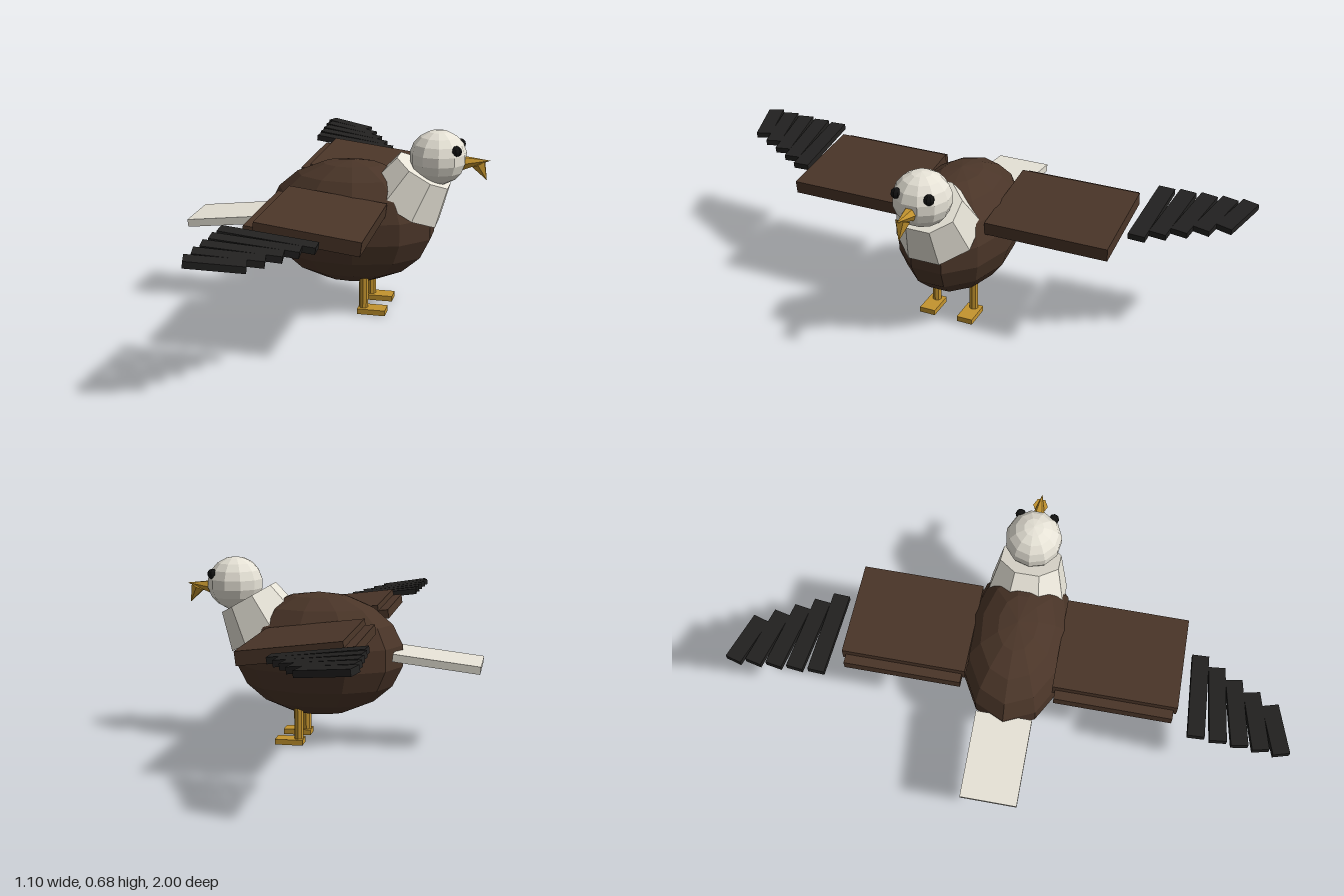
import * as THREE from 'three';

const mat = (color) => new THREE.MeshStandardMaterial({ color, flatShading: true });

export function createModel() {
  const brown = mat(0x4a3528), white = mat(0xe6e2d6), gold = mat(0xc4942e);
  const black = mat(0x222120), eyeBlack = mat(0x111111);
  const bird = new THREE.Group();
  bird.name = 'bird';

  const add = (parent, name, geometry, material, x, y, z) => {
    const mesh = new THREE.Mesh(geometry, material);
    mesh.name = name;
    mesh.position.set(x, y, z);
    parent.add(mesh);
    return mesh;
  };
  const box = (w, h, d) => new THREE.BoxGeometry(w, h, d);

  // Body, neck ruff and head; the bird looks along +x
  add(bird, 'body', new THREE.SphereGeometry(1, 11, 9), brown, 0.047, 0.327, 0)
    .scale.set(0.315, 0.228, 0.205);
  const neck = new THREE.CylinderGeometry(0.114, 0.152, 0.143, 8);
  neck.rotateY(Math.PI / 8);
  add(bird, 'neck', neck, white, 0.275, 0.466, 0).rotation.z = -0.52;
  add(bird, 'head', new THREE.SphereGeometry(0.103, 11, 9), white, 0.36, 0.58, 0)
    .scale.y = 0.95;

  // Upper beak and hooked tip
  const upper = new THREE.ConeGeometry(0.027, 0.1, 6);
  add(bird, 'beak', upper, gold, 0.495, 0.57, 0).rotation.z = -Math.PI / 2 + 0.13;
  const hook = new THREE.ConeGeometry(0.027, 0.066, 6);
  add(bird, 'beakHook', hook, gold, 0.519, 0.534, 0).rotation.z = -Math.PI + 0.48;

  // Tail slab, rising towards the body
  add(bird, 'tail', box(0.314, 0.028, 0.205), white, -0.394, 0.321, 0).rotation.z = 0.113;

  // Mirrored parts: s = -1 is the left side of the bird, s = 1 the right
  for (const s of [-1, 1]) {
    add(bird, 'eye', new THREE.SphereGeometry(0.019, 8, 6), eyeBlack, 0.431, 0.618, s * 0.06);
    add(bird, 'leg', new THREE.CylinderGeometry(0.017, 0.017, 0.125, 8), gold, 0.109, 0.0725, s * 0.075);
    add(bird, 'foot', box(0.103, 0.02, 0.06), gold, 0.1415, 0.01, s * 0.075);

    // Wing pitched nose-down, with a trailing strip and fanned tip feathers
    const wing = new THREE.Group();
    wing.name = 'wing';
    wing.position.y = 0.444;
    wing.rotation.z = -0.125;
    bird.add(wing);
    add(wing, 'wingPanel', box(0.355, 0.048, 0.443), brown, 0.027, 0, s * 0.378);
    add(wing, 'trailingStrip', box(0.205, 0.034, 0.42), brown, -0.083, -0.015, s * 0.377);
    for (let i = 0; i < 5; i++) {
      const feather = add(wing, 'tipFeather', box(0.315 - i * 0.0325, 0.022, 0.06), black,
        -0.08 - i * 0.02, 0, s * (0.666 + i * 0.0695));
      feather.rotation.y = s * (0.05 + i * 0.06);
    }
  }
  return bird;
}
